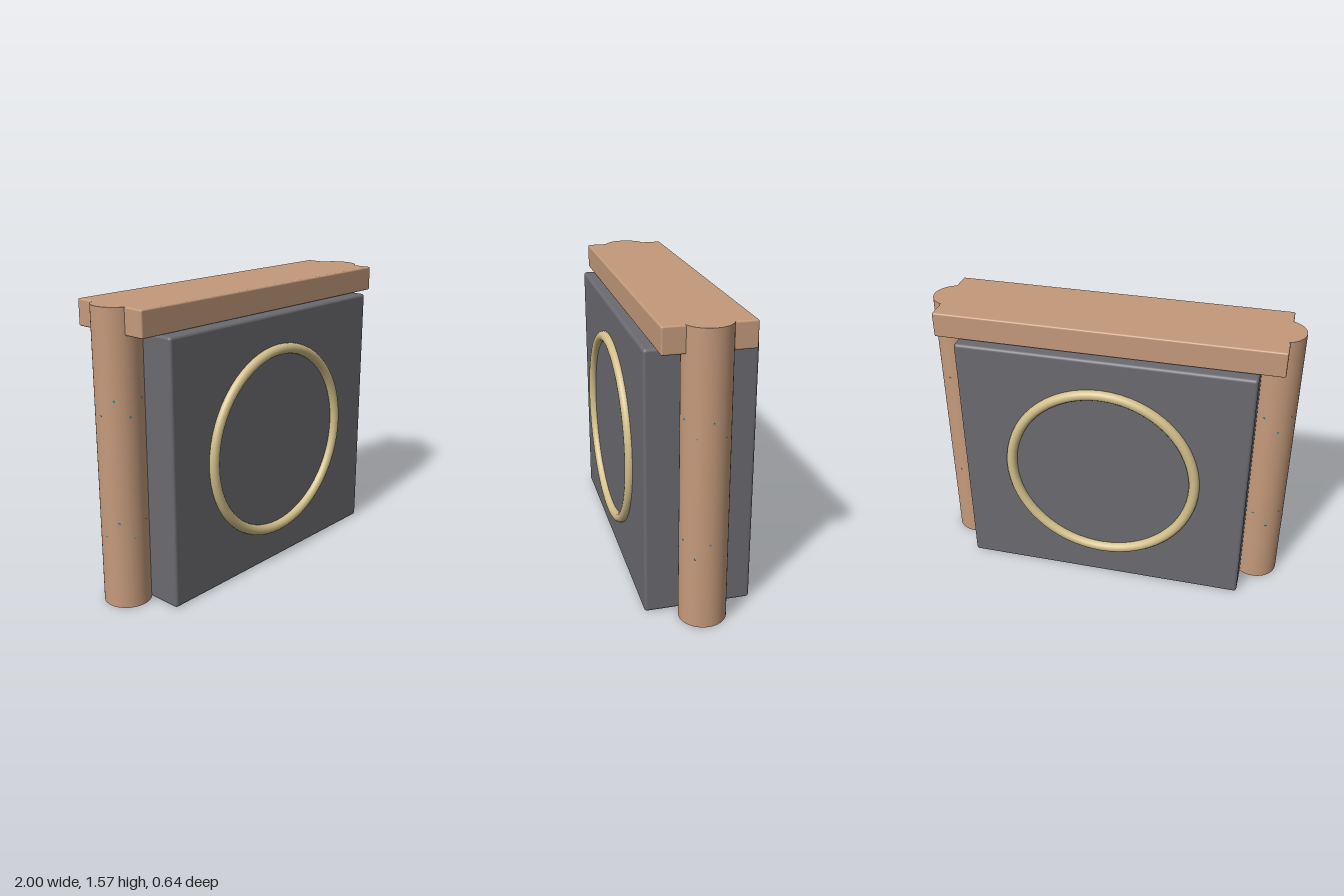
import * as THREE from 'three';
import { RoundedBoxGeometry } from 'three/addons/geometries/RoundedBoxGeometry.js';

const mat = (name, color) => {
  const m = new THREE.MeshStandardMaterial({ color });
  m.name = name;
  return m;
};

export function createModel() {
  const model = new THREE.Group();
  const stone = mat('greyStone', 0x6b6a70);
  const clay = mat('tanClay', 0xc49a7b);
  const brass = mat('paleBrass', 0xd2bf8a);
  const teal = mat('teal', 0x45b0b5);

  const add = (name, geometry, material, x, y, z, parent = model) => {
    const mesh = new THREE.Mesh(geometry, material);
    mesh.name = name;
    mesh.position.set(x, y, z);
    parent.add(mesh);
    return mesh;
  };

  // Main slab and the lintel resting on it
  add('slab', new RoundedBoxGeometry(1.596, 1.426, 0.568, 3, 0.017), stone, 0, 0.713, 0);
  add('lintel', new RoundedBoxGeometry(1.846, 0.137, 0.462, 3, 0.009), clay, 0, 1.4985, 0);

  // Raised rings, front and back
  const ring = new THREE.TorusGeometry(0.516, 0.029, 14, 64);
  add('frontRing', ring, brass, 0, 0.714, 0.29);
  add('backRing', ring, brass, 0, 0.714, -0.29).rotation.y = Math.PI;

  // Zigzag cord sunk into a column, so only its corners show
  const zigzag = (name, x, y) => {
    const group = new THREE.Group();
    group.name = name;
    group.position.set(x, y, 0);
    const corner = (i) => {
      const a = (i * Math.PI) / 5;
      return new THREE.Vector3(Math.cos(a) * 0.121, i % 2 ? -0.041 : 0.041, -Math.sin(a) * 0.121);
    };
    for (let i = 0; i < 10; i++) {
      const path = new THREE.LineCurve3(corner(i), corner(i + 1));
      add('cordSegment', new THREE.TubeGeometry(path, 1, 0.005, 6), teal, 0, 0, 0, group);
      const p = corner(i);
      add('cordCorner', new THREE.SphereGeometry(0.005, 8, 6), teal, p.x, p.y, p.z, group);
    }
    model.add(group);
  };

  // Side columns with two cords each
  for (const [side, s] of [['left', 1], ['right', -1]]) {
    const x = s * 0.876;
    add(side + 'Column', new THREE.CylinderGeometry(0.124, 0.124, 1.567, 48), clay, x, 0.7835, 0);
    zigzag(side + 'UpperCord', x, 1.071);
    zigzag(side + 'LowerCord', x, 0.432);
  }
  return model;
}
